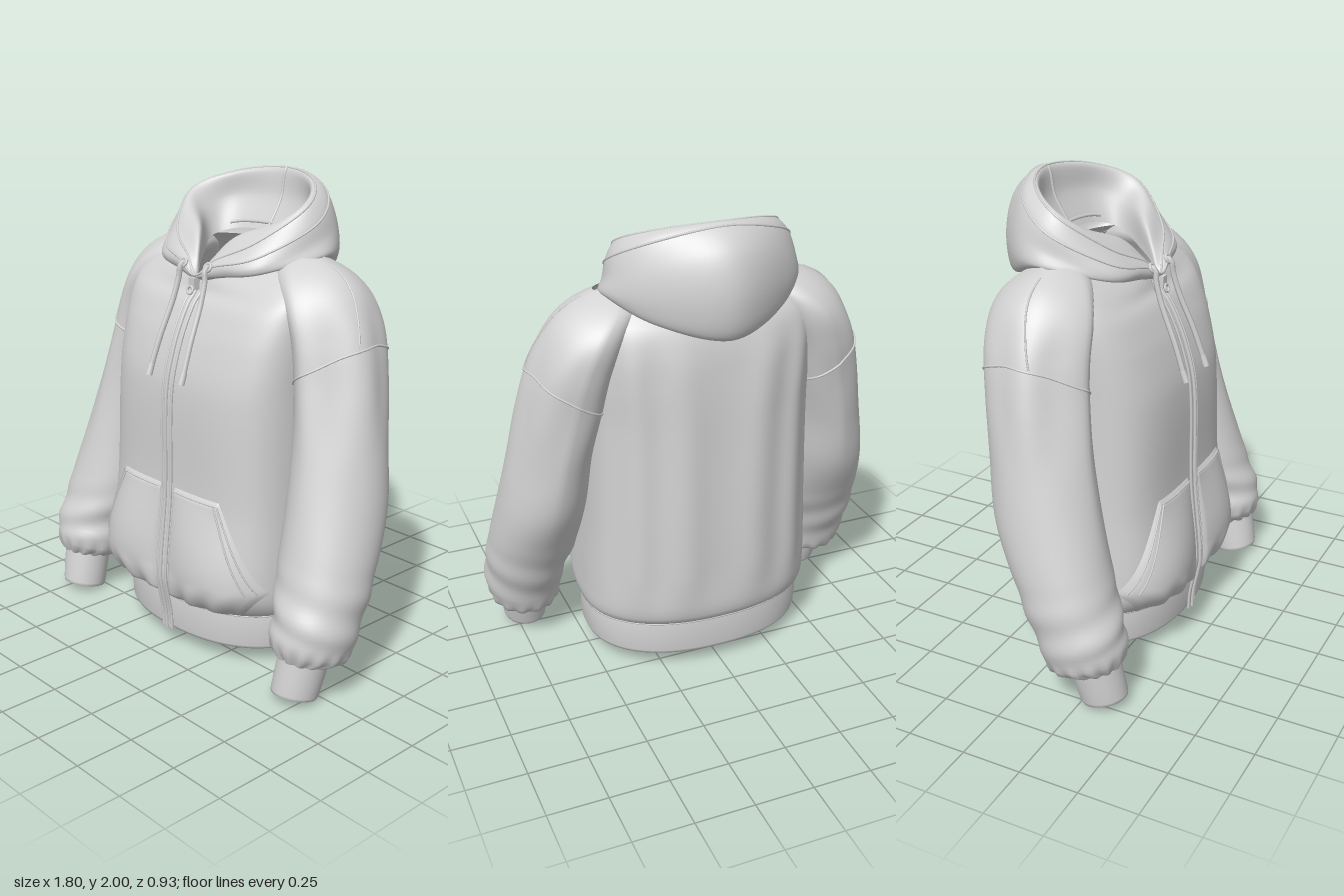
import * as THREE from 'three';

const V = (x, y, z) => new THREE.Vector3(x, y, z);
const clamp = THREE.MathUtils.clamp, smooth = THREE.MathUtils.smoothstep;
const fleece = new THREE.MeshStandardMaterial({ color: 0xd2d2d2, side: THREE.DoubleSide });
fleece.name = 'grey fleece';

function part(parent, name, geometry) {
  const m = new THREE.Mesh(geometry, fleece);
  m.name = name;
  parent.add(m);
  return m;
}

// Smooth surface from fn(u, v); u may wrap round.
function surface(nu, nv, fn, closed = true) {
  const pos = [], idx = [], cols = closed ? nu : nu + 1;
  for (let j = 0; j <= nv; j++)
    for (let i = 0; i < cols; i++) pos.push(...fn(i / nu, j / nv).toArray());
  for (let j = 0; j < nv; j++)
    for (let i = 0; i < nu; i++) {
      const a = j * cols + i, b = j * cols + (i + 1) % cols, c = a + cols, d = b + cols;
      idx.push(a, b, d, a, d, c);
    }
  const g = new THREE.BufferGeometry();
  g.setAttribute('position', new THREE.Float32BufferAttribute(pos, 3));
  g.setIndex(idx);
  g.computeVertexNormals();
  return g;
}

const cord = (pts, r = 0.004, closed = false) =>
  new THREE.TubeGeometry(new THREE.CatmullRomCurve3(pts, closed), pts.length * 5, r, 6, closed);
const steps = (n, fn) => Array.from({ length: n + 1 }, (_, i) => fn(i / n));

// Smooth lookup in a table of rows keyed by height.
function lookup(rows, y) {
  let i = 0;
  while (i < rows.length - 2 && y > rows[i + 1][0]) i++;
  const a = rows[i], b = rows[i + 1], p = rows[Math.max(i - 1, 0)], q = rows[Math.min(i + 2, rows.length - 1)];
  const h = b[0] - a[0], t = clamp((y - a[0]) / h, 0, 1), t2 = t * t, t3 = t2 * t;
  return a.map((_, k) => {
    const ma = (b[k] - p[k]) / (b[0] - p[0]) * h, mb = (q[k] - a[k]) / (q[0] - a[0]) * h;
    return (2 * t3 - 3 * t2 + 1) * a[k] + (t3 - 2 * t2 + t) * ma + (3 * t2 - 2 * t3) * b[k] + (t3 - t2) * mb;
  });
}
const power = (c, n) => Math.sign(c) * Math.abs(c) ** (2 / n);

// Torso: height, half width, front, back, squareness of front and back
const TORSO = [
  [0.22, 0.495, 0.385, -0.345, 2.4, 2.2], [0.25, 0.515, 0.41, -0.375, 2.8, 2.3], [0.35, 0.515, 0.42, -0.39, 3.8, 2.4],
  [0.7, 0.5, 0.385, -0.39, 3.8, 2.5], [1.15, 0.495, 0.368, -0.37, 3.5, 2.6], [1.35, 0.5, 0.315, -0.355, 3.6, 2.8],
  [1.48, 0.5, 0.255, -0.335, 3.8, 2.9], [1.58, 0.49, 0.22, -0.3, 3.4, 2.8], [1.65, 0.45, 0.2, -0.24, 2.7, 2.5],
  [1.69, 0.37, 0.192, -0.21, 2.2, 2.2], [1.71, 0.27, 0.185, -0.19, 2, 2],
];
function torsoPoint(a, y) {
  const [, w, f, b, nf, nb] = lookup(TORSO, y), c = Math.cos(a), s = Math.sin(a), n = c > 0 ? nf : nb;
  const back = clamp(-c * 3, 0, 1) * smooth(y, 0.22, 0.5) * (1 - smooth(y, 1.35, 1.62));
  const fold = 1 + 0.026 * back * Math.cos(13 * a + 0.4 * Math.sin(3 * y));
  const drop = 0.12 * smooth(y, 1.45, 1.71) * Math.max(c, 0);
  return V(w * power(s, n), y - drop, (c > 0 ? f : -b) * power(c, n) * fold);
}
function onFront(x, y, off = 0) {
  const [, w, f, , n] = lookup(TORSO, y);
  return V(x, y, f * Math.max(0, 1 - Math.abs(x / w) ** n) ** (1 / n) + off);
}

// Sleeve: height, inner x, outer x, back z, front z, slope
const SLEEVE = [
  [0.165, 0.62, 0.83, 0.18, 0.4, 0.25], [0.18, 0.575, 0.865, 0.115, 0.412, 0.25], [0.24, 0.555, 0.885, 0.08, 0.42, 0.22],
  [0.33, 0.55, 0.895, 0.035, 0.405, 0.1], [0.5, 0.505, 0.89, -0.05, 0.352, 0], [0.75, 0.48, 0.857, -0.17, 0.285, 0],
  [1.0, 0.46, 0.812, -0.22, 0.23, 0], [1.25, 0.41, 0.76, -0.26, 0.185, 0], [1.4, 0.38, 0.718, -0.285, 0.17, 0],
  [1.52, 0.33, 0.665, -0.29, 0.16, 0], [1.6, 0.28, 0.61, -0.26, 0.13, 0], [1.66, 0.24, 0.535, -0.2, 0.08, 0],
  [1.7, 0.25, 0.44, -0.13, 0.02, 0],
];
function sleevePoint(a, y, off = 0) {
  const [, xi, xo, zb, zf, slope] = lookup(SLEEVE, y);
  const low = 1 - smooth(y, 0.17, 0.25);
  const wrinkle = 0.007 * Math.sin(14 * a) * low + 0.006 * Math.sin(y * 38 + 2 * a) * smooth(y, 0.2, 0.3) * (1 - smooth(y, 0.35, 0.6))
    + 0.008 * Math.cos(5 * a) * smooth(y, 0.9, 1.25) * (1 - smooth(y, 1.4, 1.62));
  const s = power(Math.sin(a), 2.05), c = power(Math.cos(a), 2.05), g = off + wrinkle;
  const taper = 1 - 0.28 * Math.max(s, 0) * smooth(y, 0.5, 1.1);
  const dz = ((zf - zb) / 2 * taper + g) * c;
  return V((xi + xo) / 2 + ((xo - xi) / 2 + g) * s, y + slope * dz, (zf + zb) / 2 + dz);
}

// Hood rings: front, beside front, front side, side, back side, back
const HOOD = [
  [[0, 1.585, 0.2], [0.035, 1.63, 0.165], [0.1, 1.66, 0.085], [0.23, 1.7, -0.08], [0.17, 1.73, -0.17], [0, 1.74, -0.19]],
  [[0, 1.592, 0.206], [0.048, 1.675, 0.165], [0.125, 1.77, 0.085], [0.27, 1.81, -0.07], [0.22, 1.86, -0.21], [0, 1.87, -0.27]],
  [[0, 1.6, 0.212], [0.075, 1.675, 0.18], [0.22, 1.765, 0.1], [0.335, 1.895, -0.06], [0.22, 1.965, -0.22], [0, 1.99, -0.3]],
  [[0, 1.605, 0.226], [0.095, 1.655, 0.208], [0.27, 1.71, 0.135], [0.385, 1.84, -0.08], [0.26, 1.945, -0.255], [0, 1.995, -0.325]],
  [[0, 1.597, 0.227], [0.12, 1.632, 0.21], [0.3, 1.665, 0.145], [0.405, 1.76, -0.1], [0.3, 1.83, -0.29], [0, 1.9, -0.43]],
  [[0, 1.588, 0.215], [0.13, 1.61, 0.197], [0.3, 1.64, 0.14], [0.425, 1.7, -0.1], [0.3, 1.69, -0.31], [0, 1.71, -0.47]],
  [[0, 1.583, 0.2], [0.12, 1.605, 0.18], [0.27, 1.635, 0.12], [0.4, 1.685, -0.1], [0.27, 1.61, -0.3], [0, 1.55, -0.425]],
  [[0, 1.573, 0.17], [0.09, 1.6, 0.14], [0.2, 1.65, 0.08], [0.3, 1.69, -0.08], [0.2, 1.63, -0.24], [0, 1.58, -0.28]],
].map(half => new THREE.CatmullRomCurve3(
  [...half, ...half.slice(1, 5).reverse().map(([x, y, z]) => [-x, y, z])].map(p => V(...p)), true, 'catmullrom', 0.5));
const hoodPoint = (u, v) => new THREE.CatmullRomCurve3(HOOD.map(r => r.getPoint(u))).getPoint(v);

// Open ribbed band with thickness; profile is [height, radius factor].
function band(cx, cz, rx, rz, n, profile, lean = () => [0, 0], slope = 0) {
  return surface(64, profile.length - 1, (u, v) => {
    const [y, k] = profile[Math.round(v * (profile.length - 1))], a = u * Math.PI * 2, [lx, lz] = lean(y);
    const dz = rz * k * power(Math.cos(a), n);
    return V(cx + lx + rx * k * power(Math.sin(a), n), y + slope * dz, cz + lz + dz);
  });
}

const pocketEdge = y => y < 0.36 ? 0.39 + (y - 0.23) / 0.13 * 0.107 : 0.497 - (y - 0.36) / 0.375 * 0.197;
function pocketPoint(u, v, lift = 0) {
  const y = 0.23 + 0.505 * v, x = 0.035 + (pocketEdge(y) - 0.035) * u;
  const rim = Math.min(1, Math.min(u, 1 - u, v, 1 - v) * 24);
  const puff = 0.014 + 0.042 * Math.sin(Math.PI * u) ** 0.7 * Math.sin(Math.PI * v ** 0.75);
  const gather = 0.01 * Math.sin(u * 19) * Math.max(0, 1 - v * 3.5);
  return onFront(x, y, -0.004 + rim * (puff + gather) + lift);
}

export function createModel() {
  const hoodie = new THREE.Group();
  hoodie.name = 'zipHoodie';
  const TAU = Math.PI * 2;

  // Body and waistband
  part(hoodie, 'torso', surface(112, 60, (u, v) => torsoPoint(u * TAU, 0.22 + 1.49 * v)));
  part(hoodie, 'waistband', band(0, 0.02, 0.5, 0.37, 2.3,
    [[0.235, 0.96], [0.235, 0.985], [0.22, 1], [0.15, 1.005], [0.085, 0.995], [0.072, 0.985], [0.072, 0.965], [0.085, 0.955], [0.235, 0.955]]));
  part(hoodie, 'waistSeam', cord(steps(40, t => torsoPoint(t * TAU, 0.232)).slice(0, -1), 0.005, true));

  // Hood with lining, rolled rim and seams
  part(hoodie, 'hood', surface(100, 56, hoodPoint));
  [2.3, 3.2].forEach(k =>
    part(hoodie, 'hoodRimStitch', cord(steps(50, t => hoodPoint(t, k / 7)).slice(0, -1), 0.005, true)));
  part(hoodie, 'hoodLiningSeam', cord(steps(10, t => hoodPoint(0.5, (0.1 + 2 * t) / 7)), 0.007));
  part(hoodie, 'neckTape', cord(steps(14, t => hoodPoint(0.38 + 0.24 * t, 0.03)), 0.008));

  // Zip following the front
  const zip = [V(0, 0.072, 0.388), V(0, 0.15, 0.392), ...steps(24, t => torsoPoint(0, 0.25 + 1.45 * t))];
  const line = (x, dz) => zip.map(p => V(x, p.y, p.z + dz));
  const zipCurve = new THREE.CatmullRomCurve3(zip);
  part(hoodie, 'zipTape', surface(4, 60, (u, v) => {
    const p = zipCurve.getPoint(v);
    return V((u - 0.5) * 0.06, p.y, p.z + 0.01);
  }, false));
  part(hoodie, 'zipTeeth', cord(line(0, 0.014), 0.008));
  [-0.028, 0.028].forEach(x => part(hoodie, 'zipSeam', cord(line(x, 0.009), 0.006)));
  const slider = part(hoodie, 'zipSlider', new THREE.BoxGeometry(0.036, 0.05, 0.028));
  slider.position.set(0, 1.57, 0.228);
  const pull = part(hoodie, 'zipPull', new THREE.TorusGeometry(0.016, 0.005, 8, 20));
  pull.position.set(0, 1.545, 0.25);
  pull.rotation.x = -0.3;

  // Paired parts, modelled on the left and mirrored
  for (const s of [1, -1]) {
    const side = new THREE.Group();
    side.name = s > 0 ? 'leftSide' : 'rightSide';
    side.scale.x = s;
    hoodie.add(side);

    part(side, 'sleeve', surface(64, 72, (u, v) => sleevePoint(u * TAU, 0.165 + 1.535 * v)));
    part(side, 'cuff', band(0.705, 0.33, 0.1, 0.1, 2,
      [[0.2, 1.04], [0.1, 1.0], [0.035, 0.97], [0.022, 0.94], [0.022, 0.88], [0.04, 0.85], [0.2, 0.85]],
      y => [0.1 * (y - 0.02), -0.24 * (y - 0.02)], 0.22));
    part(side, 'armSeam', cord(steps(32, t => {
      const a = t * TAU;
      return sleevePoint(a, 1.29 + 0.1 * Math.sin(a), 0.001);
    }).slice(0, -1), 0.005, true));
    part(side, 'shoulderSeam', cord(steps(10, t => sleevePoint(Math.PI / 2 - 0.4 * (1 - t), 1.39 + 0.29 * t, 0.001)), 0.004));

    // Front pocket with stitched edges
    part(side, 'pocket', surface(40, 40, (u, v) => pocketPoint(u, v), false));
    part(side, 'pocketTopStitch', cord(steps(10, t => pocketPoint(0.04 + 0.9 * t, 0.96, 0)), 0.004));
    [0.9, 0.96].forEach(u =>
      part(side, 'pocketOpeningStitch', cord(steps(12, t => pocketPoint(u, 0.26 + 0.7 * t, 0.001)), 0.004)));

    // Drawcord hanging from the hood
    part(side, 'drawcord', cord([V(0.07, 1.65, 0.19), V(0.075, 1.64, 0.232), V(0.08, 1.59, 0.24), V(0.085, 1.5, 0.268),
      V(0.095, 1.35, 0.333), V(0.103, 1.2, 0.388)], 0.012));
    const tip = part(side, 'cordTip', new THREE.CylinderGeometry(0.013, 0.014, 0.05, 12));
    tip.position.set(0.102, 1.215, 0.383);
    tip.rotation.x = -0.36;
    const eyelet = part(side, 'eyelet', new THREE.TorusGeometry(0.018, 0.006, 8, 20));
    eyelet.position.set(0.075, 1.645, 0.22);
    eyelet.rotation.x = -0.5;
  }
  return hoodie;
}
